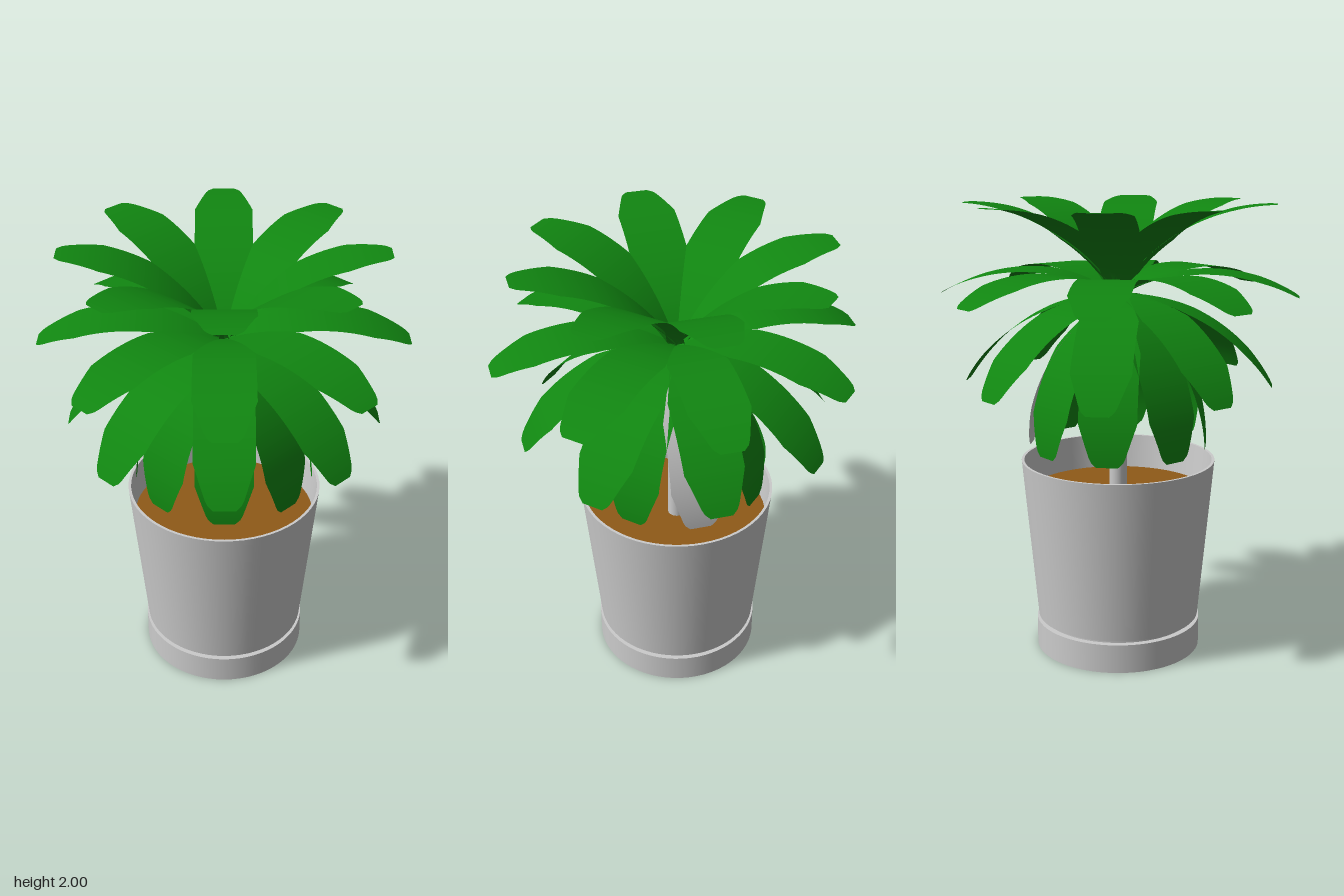
import * as THREE from 'three';

const grey = new THREE.MeshStandardMaterial({ color: 0xcccccc, side: THREE.DoubleSide });
const green = new THREE.MeshStandardMaterial({ color: 0x118611, side: THREE.DoubleSide });
const brown = new THREE.MeshStandardMaterial({ color: 0x8f5a18 });

// Leaf half width along its length: [position 0..1, half width]
const OUTLINE = [[0, 0.04], [0.2, 0.075], [0.4, 0.124], [0.775, 0.124], [0.95, 0.077], [0.975, 0.067], [1, 0.046]];
const ARC_RADIUS = 0.78;
const CROWN_Y = 1.61;

function halfWidth(t) {
  for (let i = 1; i < OUTLINE.length; i++) {
    const [t0, w0] = OUTLINE[i - 1], [t1, w1] = OUTLINE[i];
    if (t <= t1 + 1e-6) return THREE.MathUtils.mapLinear(t, t0, t1, w0, w1);
  }
  return 0;
}

// Flat strip bent along a 60 degree arc; startDeg is the slope at the crown
function leafGeometry(startDeg) {
  const g = new THREE.PlaneGeometry(1, 1, 2, 40);
  const p = g.attributes.position;
  const a0 = THREE.MathUtils.degToRad(startDeg);
  for (let i = 0; i < p.count; i++) {
    const t = p.getY(i) + 0.5;
    const a = a0 - t * Math.PI / 3;
    p.setXYZ(i,
      p.getX(i) * 2 * halfWidth(t),
      ARC_RADIUS * (Math.cos(a) - Math.cos(a0)),
      -ARC_RADIUS * (Math.sin(a0) - Math.sin(a)));
  }
  g.computeVertexNormals();
  return g;
}

// Each profile run is a separate lathe so that the corners stay sharp
function lathe(name, points, material) {
  const part = new THREE.Group();
  part.name = name;
  for (let i = 1; i < points.length; i++) {
    const pair = [points[i - 1], points[i]].map(([r, y]) => new THREE.Vector2(r, y));
    const mesh = new THREE.Mesh(new THREE.LatheGeometry(pair, 64), material);
    mesh.name = name + 'Surface';
    part.add(mesh);
  }
  return part;
}

export function createModel() {
  const model = new THREE.Group();
  model.name = 'pottedPlant';

  // Saucer and tapered pot with a thin wall
  model.add(lathe('saucer', [[0, 0], [0.372, 0], [0.372, 0.13], [0, 0.13]], grey));
  model.add(lathe('pot', [[0.345, 0.13], [0.345, 0.145], [0.365, 0.145], [0.432, 0.875], [0.42, 0.875], [0.404, 0.7]], grey));

  // Soil
  const soil = new THREE.Mesh(new THREE.CylinderGeometry(0.406, 0.4, 0.06, 64), brown);
  soil.name = 'soil';
  soil.position.y = 0.69;
  model.add(soil);

  // Trunk
  const trunk = new THREE.Mesh(new THREE.CylinderGeometry(0.04, 0.04, 0.91, 24), grey);
  trunk.name = 'trunk';
  trunk.position.y = 1.155;
  model.add(trunk);

  // Four tiers of eight leaves, each tier tilted 30 degrees more than the last
  [-30, 0, 30, 60].forEach((startDeg, tier) => {
    const ring = new THREE.Group();
    ring.name = 'leafTier' + (tier + 1);
    ring.position.y = CROWN_Y;
    const geometry = leafGeometry(startDeg);
    for (let i = 0; i < 8; i++) {
      // One leaf of the lowest tier, on the left side, is grey
      const leaf = new THREE.Mesh(geometry, tier === 0 && i === 6 ? grey : green);
      leaf.name = 'leaf';
      leaf.rotation.y = i * Math.PI / 4;
      ring.add(leaf);
    }
    model.add(ring);
  });

  return model;
}
